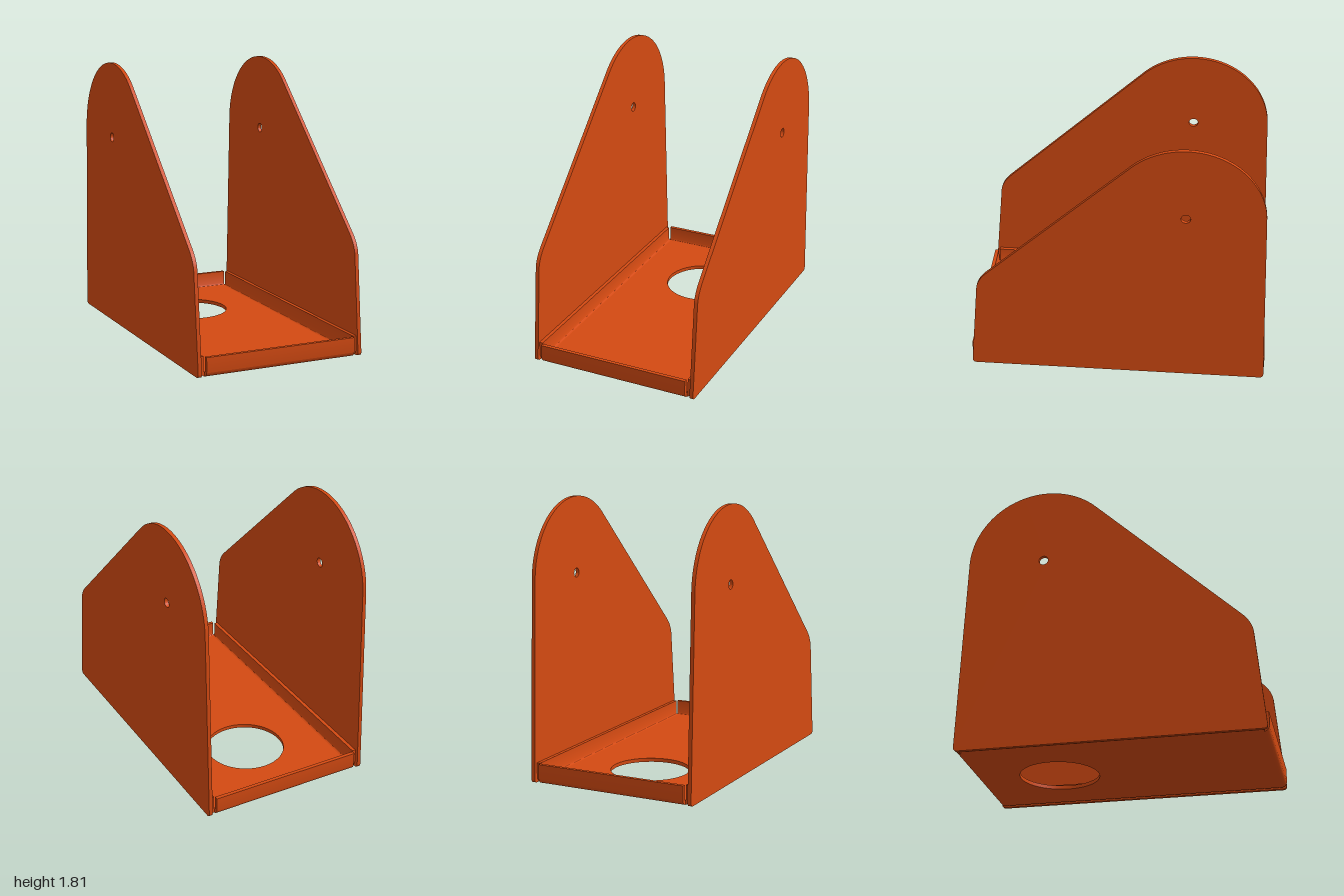
import * as THREE from 'three';
import { toCreasedNormals } from 'three/addons/utils/BufferGeometryUtils.js';

const T = 0.025;          // sheet thickness
const R = 0.04;           // outer bend radius
const LIP = 0.13;         // lip height
const FLAT_X = 0.514;     // half size of the flat floor
const FLAT_Z = 0.96;
const OUTER_X = 0.578;    // outer face of the side plates

const paint = new THREE.MeshStandardMaterial({ color: 0xd44a12 });

function extrude(shape, depth) {
  const g = new THREE.ExtrudeGeometry(shape, { depth, bevelEnabled: false, curveSegments: 32 });
  return toCreasedNormals(g, Math.PI / 6);
}

function addMesh(parent, name, geometry) {
  const mesh = new THREE.Mesh(geometry, paint);
  mesh.name = name;
  parent.add(mesh);
  return mesh;
}

function hole(x, y, r) {
  return new THREE.Path().absarc(x, y, r, 0, Math.PI * 2, true);
}

// Side plate outline, drawn as (z, y)
function sidePlateGeometry() {
  const cz = -0.44, cy = 1.305, r = 0.51;
  const s = new THREE.Shape();
  s.moveTo(-0.97, 0);
  s.lineTo(0.965, 0);
  s.quadraticCurveTo(0.997, 0, 0.994, 0.03);
  s.lineTo(0.932, 0.66);
  s.quadraticCurveTo(0.923, 0.725, 0.86, 0.785);
  s.absarc(cz, cy, r, 0.817, Math.PI - 0.034, false);
  s.lineTo(-0.998, 0.03);
  s.quadraticCurveTo(-0.999, 0, -0.97, 0);
  s.holes.push(hole(cz, cy, 0.031));
  return extrude(s, T).rotateY(-Math.PI / 2);
}

// Bent edge: quarter bend rising into an upright lip, running along z
function lipGeometry(length) {
  const s = new THREE.Shape();
  s.moveTo(0, 0);
  s.absarc(0, R, R, -Math.PI / 2, 0, false);
  s.lineTo(R, LIP);
  s.lineTo(R - T, LIP);
  s.absarc(0, R, R - T, 0, -Math.PI / 2, true);
  s.closePath();
  return extrude(s, length).translate(0, 0, -length / 2);
}

// Floor with its large round opening
function floorGeometry() {
  const s = new THREE.Shape([
    new THREE.Vector2(-FLAT_X, -FLAT_Z), new THREE.Vector2(FLAT_X, -FLAT_Z),
    new THREE.Vector2(FLAT_X, FLAT_Z), new THREE.Vector2(-FLAT_X, FLAT_Z),
  ]);
  s.holes.push(hole(0, 0.445, 0.263));
  return extrude(s, T).rotateX(-Math.PI / 2);
}

export function createModel() {
  const model = new THREE.Group();
  model.name = 'bracket';

  // Folded tray
  const tray = new THREE.Group();
  tray.name = 'tray';
  model.add(tray);
  addMesh(tray, 'floor', floorGeometry());

  const lips = [
    ['leftLip', 0, FLAT_X, 1.936],
    ['backLip', Math.PI / 2, FLAT_Z, 1.046],
    ['rightLip', Math.PI, FLAT_X, 1.936],
    ['frontLip', -Math.PI / 2, FLAT_Z, 1.046],
  ];
  for (const [name, turn, offset, length] of lips) {
    addMesh(tray, name, lipGeometry(length).translate(offset, 0, 0)).rotation.y = turn;
  }

  // Side plates against the outside of the tray
  const plate = sidePlateGeometry();
  addMesh(model, 'leftSidePlate', plate).position.x = OUTER_X;
  addMesh(model, 'rightSidePlate', plate).position.x = -OUTER_X + T;

  return model;
}
